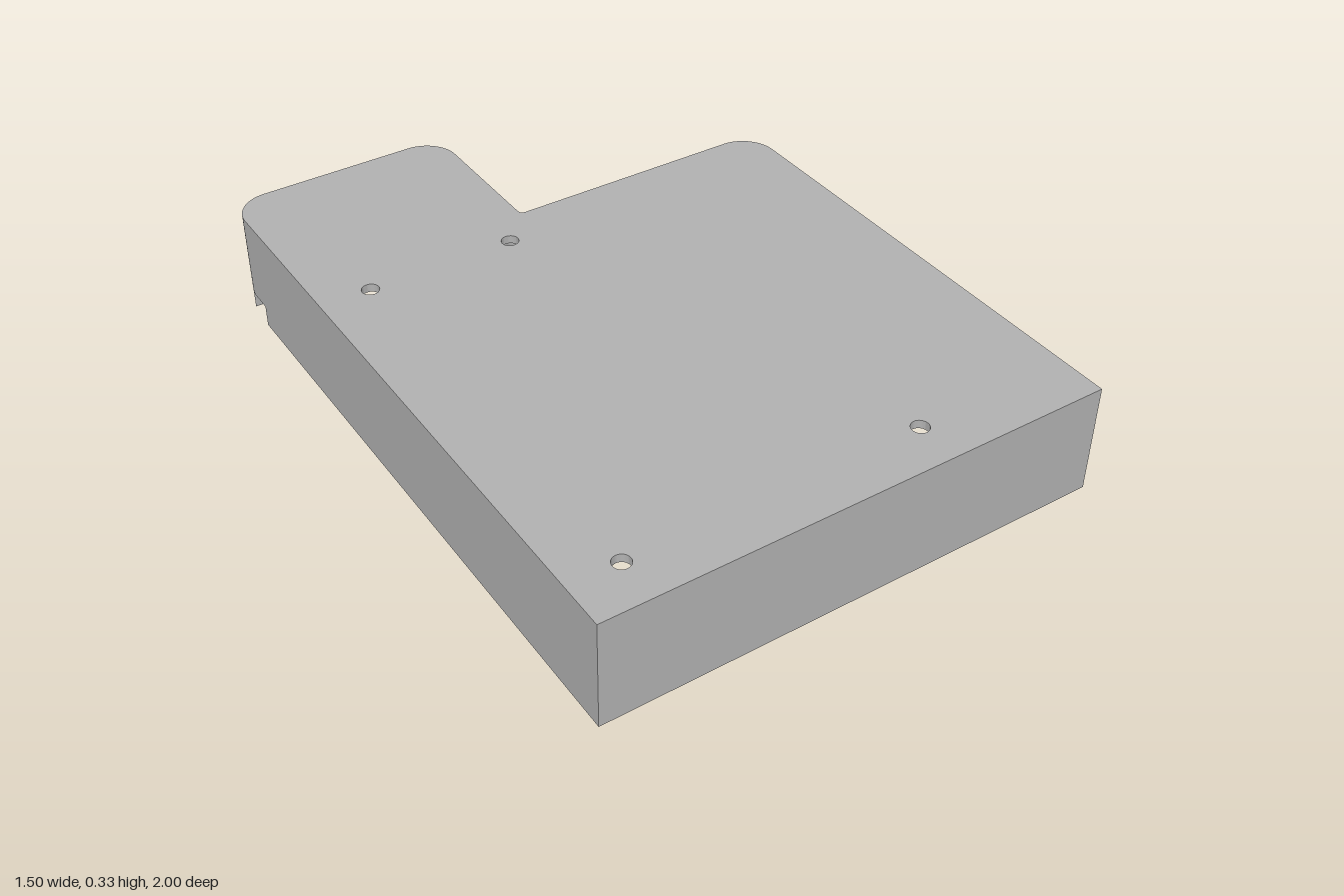
import * as THREE from 'three';
import { toCreasedNormals } from 'three/addons/utils/BufferGeometryUtils.js';

const HEIGHT = 0.328, TOP = 0.025, WALL = 0.042;
const NOTCH_TOP = 0.066, NOTCH_FRONT = 0.83, NOTCH_BACK = 0.935;
const R = 0.105; // outer corner radius
const CZ = 1 - R; // centre line of the arm's rounded corners

// Plan outline (x, -z), counter-clockwise from the front left, inset by t
function outline(t) {
  const r = R - t, q = 0.015 + t;
  const s = new THREE.Shape();
  s.moveTo(-0.75 + t, -1 + t);
  s.lineTo(0.75 - t, -1 + t);
  s.absarc(0.75 - R, 0.5 - R, r, 0, Math.PI / 2, false);
  s.absarc(-0.055, 0.515, q, -Math.PI / 2, -Math.PI, true);
  s.absarc(-0.07 - R, CZ, r, 0, Math.PI / 2, false);
  s.absarc(-0.75 + R, CZ, r, Math.PI / 2, Math.PI, false);
  s.closePath();
  return s;
}

// Part of the outline in front of the cable notches
function frontRun(t) {
  return [
    new THREE.Vector2(-0.75 + t, NOTCH_FRONT),
    ...outline(t).getPoints(16).slice(0, -1).filter(p => p.y < NOTCH_FRONT),
    new THREE.Vector2(-0.07 - t, NOTCH_FRONT),
  ];
}

// Part of the outline behind the cable notches
function backRun(t) {
  const r = R - t, a = Math.asin((NOTCH_BACK - CZ) / r);
  const p = new THREE.Path();
  p.absarc(-0.07 - R, CZ, r, a, Math.PI / 2, false);
  p.absarc(-0.75 + R, CZ, r, Math.PI / 2, Math.PI - a, false);
  return p.getPoints(16);
}

const wallStrip = run => new THREE.Shape([...run(0), ...run(WALL).reverse()]);

export function createModel() {
  const model = new THREE.Group();
  model.name = 'enclosureCover';
  const grey = new THREE.MeshStandardMaterial({ color: 0xb2b2b2 });
  grey.name = 'plainGrey';

  // Extrude a plan shape upward between two heights
  const add = (name, shape, y0, y1) => {
    let g = new THREE.ExtrudeGeometry(shape, { depth: y1 - y0, bevelEnabled: false, curveSegments: 16 });
    g.rotateX(-Math.PI / 2);
    g.translate(0, y0, 0);
    g = toCreasedNormals(g, 0.6);
    const mesh = new THREE.Mesh(g, grey);
    mesh.name = name;
    model.add(mesh);
  };

  // Top plate with four screw holes
  const top = outline(0);
  for (const [x, z] of [[-0.6, -0.395], [-0.165, -0.395], [-0.6, 0.865], [0.27, 0.865]]) {
    top.holes.push(new THREE.Path().absarc(x, -z, 0.025, 0, Math.PI * 2, true));
  }
  add('topPlate', top, HEIGHT - TOP, HEIGHT);

  // Continuous wall above the notches
  const ring = outline(0);
  ring.holes.push(outline(WALL));
  add('upperWall', ring, NOTCH_TOP, HEIGHT - TOP);

  // Lower wall, interrupted by a notch on each side of the arm
  add('lowerFrontWall', wallStrip(frontRun), 0, NOTCH_TOP);
  add('lowerBackWall', wallStrip(backRun), 0, NOTCH_TOP);
  return model;
}
